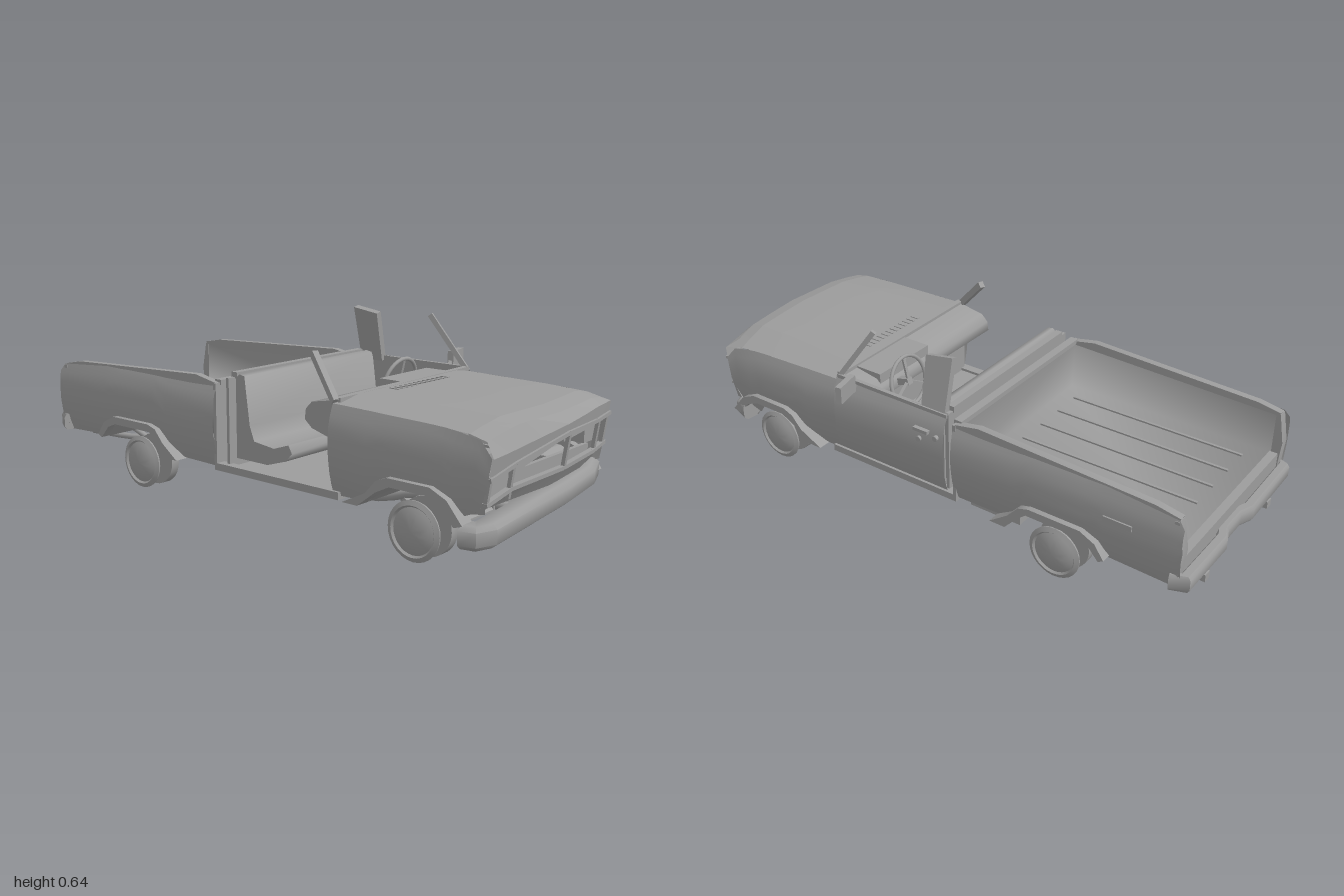
import * as THREE from 'three';
import { toCreasedNormals } from 'three/addons/utils/BufferGeometryUtils.js';

const MAT = new THREE.MeshStandardMaterial({ color: 0x9c9c9c, side: THREE.DoubleSide });
const ZC = 0.035; // centre line of the body
const V = (x, y, z) => new THREE.Vector3(x, y, z);

// piecewise linear lookup in [[key, value], ...]
function lerpTable(t, k) {
  if (k <= t[0][0]) return t[0][1];
  for (let i = 1; i < t.length; i++) {
    const [a, b] = [t[i - 1], t[i]];
    if (k <= b[0]) return a[1] + (b[1] - a[1]) * (k - a[0]) / (b[0] - a[0]);
  }
  return t[t.length - 1][1];
}
const halfWidth = y => lerpTable([[0.13, 0.36], [0.2, 0.384], [0.28, 0.396], [0.36, 0.394], [0.42, 0.38], [0.46, 0.358]], y);
const noseX = z => lerpTable([[-0.36, 0.93], [-0.2, 0.968], [0.02, 1.0], [0.43, 0.985]], z);
const lipY = z => lerpTable([[-0.36, 0.4], [-0.2, 0.41], [0.04, 0.4], [0.43, 0.362]], z);

// surface through rows of points
function skin(rows, crease = 0.5) {
  const n = rows[0].length, pos = [], idx = [];
  rows.forEach(r => r.forEach(p => pos.push(p.x, p.y, p.z)));
  for (let i = 0; i < rows.length - 1; i++) for (let j = 0; j < n - 1; j++) {
    const a = i * n + j, b = a + n;
    idx.push(a, b, a + 1, b, b + 1, a + 1);
  }
  const g = new THREE.BufferGeometry();
  g.setAttribute('position', new THREE.Float32BufferAttribute(pos, 3));
  g.setIndex(idx);
  return toCreasedNormals(g, crease);
}

export function createModel() {
  const model = new THREE.Group();
  model.name = 'wreckedPickup';
  const add = (name, geo, x = 0, y = 0, z = 0) => {
    const m = new THREE.Mesh(geo, MAT);
    m.name = name;
    m.position.set(x, y, z);
    model.add(m);
    return m;
  };
  // box given by its ranges
  const box = (name, x0, x1, y0, y1, z0, z1) =>
    add(name, new THREE.BoxGeometry(x1 - x0, y1 - y0, z1 - z0), (x0 + x1) / 2, (y0 + y1) / 2, (z0 + z1) / 2);
  const beam = (name, a, b, w, h = w) => {
    const m = add(name, new THREE.BoxGeometry(w, h, a.distanceTo(b)));
    m.position.copy(a).add(b).multiplyScalar(0.5);
    m.lookAt(b);
  };
  const pipe = (name, pts, r) =>
    add(name, new THREE.TubeGeometry(new THREE.CatmullRomCurve3(pts, false, 'centripetal'), 30, r, 8));
  // side outline in x/y, extruded from z0 to z1
  const slab = (name, pts, z0, z1, crease = 0.3) => {
    const s = new THREE.Shape(pts.map(p => new THREE.Vector2(...p)));
    const g = new THREE.ExtrudeGeometry(s, { depth: z1 - z0, bevelEnabled: false });
    return add(name, toCreasedNormals(g, crease), 0, 0, z0);
  };
  // bevelled bar swept along a mostly level path, closed at both ends
  const section = [[1, -0.6], [1, 0.6], [0.6, 1], [-0.6, 1], [-1, 0.6], [-1, -0.6], [-0.6, -1], [0.6, -1], [1, -0.6]];
  const sweep = (name, pts, hw, hh) => {
    const path = pts.map(p => V(...p));
    const rows = path.map((p, i) => {
      const d = path[Math.min(i + 1, path.length - 1)].clone().sub(path[Math.max(i - 1, 0)]);
      const n = V(d.z, 0, -d.x).normalize();
      return section.map(([u, v]) => p.clone().addScaledVector(n, u * hw).add(V(0, v * hh, 0)));
    });
    const cap = p => Array(9).fill(p);
    add(name, skin([cap(path[0]), ...rows, cap(path[path.length - 1])], 0.9));
  };

  // body side: stations [x, bottom, top], pinched to the bent nose at the front
  const side = (name, stations, s) => add(name, skin(stations.map(([x, b, t]) =>
    Array.from({ length: 9 }, (_, k) => {
      const y = b + (t - b) * k / 8, z = ZC + s * halfWidth(y);
      const f = Math.max(0, (x - 0.4) / 0.59);
      return V(x + f * (noseX(z) - 0.99 - Math.max(0, 0.4 - y) * 0.15), y, z);
    }))));
  const bed = [[-0.965, 0.2, 0.385], [-0.945, 0.155, 0.41], [-0.7, 0.165, 0.427], [-0.67, 0.205, 0.428], [-0.62, 0.225, 0.43],
    [-0.43, 0.225, 0.44], [-0.4, 0.2, 0.44], [-0.36, 0.15, 0.44], [-0.12, 0.145, 0.435]];
  const fender = [[0.39, 0.145, 0.436], [0.54, 0.15, 0.433], [0.6, 0.205, 0.431], [0.64, 0.225, 0.43], [0.77, 0.225, 0.427],
    [0.82, 0.205, 0.425], [0.87, 0.16, 0.42], [0.94, 0.19, 0.408], [0.99, 0.2, 0.364]];
  // wheel arches: inner edge, then outer edge of the flare
  const arches = [
    [[[-0.7, 0.165], [-0.66, 0.21], [-0.62, 0.225], [-0.43, 0.225], [-0.4, 0.2], [-0.35, 0.145]],
      [[-0.29, 0.145], [-0.36, 0.195], [-0.4, 0.24], [-0.44, 0.252], [-0.63, 0.252], [-0.685, 0.225], [-0.72, 0.175]]],
    [[[0.52, 0.145], [0.59, 0.2], [0.64, 0.225], [0.77, 0.225], [0.82, 0.205], [0.87, 0.15]],
      [[0.9, 0.16], [0.845, 0.225], [0.785, 0.252], [0.63, 0.252], [0.59, 0.235], [0.55, 0.19], [0.46, 0.145]]]];

  // wheel: thick inner disc and thin ringed outer disc with a domed centre
  const wheelProfile = [[0, -0.045], [0.094, -0.045], [0.094, -0.012], [0.02, -0.012],
    [0.02, 0.044], [0.094, 0.044], [0.095, 0.05], [0.08, 0.057], [0.074, 0.05], [0.06, 0.057], [0.035, 0.063], [0, 0.066]];
  const wheelGeo = toCreasedNormals(new THREE.LatheGeometry(wheelProfile.map(p => new THREE.Vector2(...p)), 28), 0.8);

  for (const s of [1, -1]) {
    const tag = s > 0 ? 'Open' : 'Door';
    const zr = (a, b) => [ZC + s * a, ZC + s * b].sort((p, q) => p - q);
    side('bedSide' + tag, bed, s);
    side('fender' + tag, fender, s);
    // bed rail and end post
    slab('bedRail' + tag, [[-0.94, 0.4], [-0.125, 0.425], [-0.125, 0.436], [-0.22, 0.454], [-0.86, 0.427], [-0.945, 0.411]], ...zr(0.35, 0.376));
    slab('bedEndPost' + tag, [[-0.955, 0.17], [-0.93, 0.17], [-0.93, 0.405], [-0.945, 0.405], [-0.965, 0.3]], ...zr(0.35, 0.386));
    box('sill' + tag, -0.13, 0.42, 0.135, 0.16, ...zr(0.345, 0.38));
    for (const [inner, outer] of arches) {
      slab('wheelArchFlare' + tag, [...inner, ...outer], ...zr(0.36, 0.412), 0.9);
      slab('wheelWell' + tag, [...inner, ...inner.map(([x, y]) => [x, y + 0.006]).reverse()], ...zr(0.2, 0.38));
      box('wheelWellBack' + tag, inner[0][0], inner[5][0], 0.15, 0.23, ...zr(0.195, 0.205));
    }
    for (const x of [-0.52, 0.705]) add('wheel' + tag, wheelGeo, x, 0.095, ZC + s * 0.325).rotation.x = s * Math.PI / 2;
    // chassis rail, springs and arms
    pipe('frameRail' + tag, [[-0.93, 0.14], [-0.68, 0.17], [-0.48, 0.15], [-0.38, 0.1], [0.42, 0.1], [0.52, 0.13], [0.7, 0.16], [0.9, 0.16]]
      .map(([x, y]) => V(x, y, ZC + s * 0.17)), 0.016);
    pipe('leafSpring' + tag, [V(-0.75, 0.16, ZC + s * 0.22), V(-0.52, 0.095, ZC + s * 0.22), V(-0.3, 0.14, ZC + s * 0.22)], 0.011);
    beam('frontControlArm' + tag, V(0.705, 0.1, ZC + s * 0.3), V(0.5, 0.11, ZC + s * 0.15), 0.022);
    box('rearBumperBracket' + tag, -0.99, -0.85, 0.115, 0.142, ...zr(0.22, 0.25));
  }

  // bed tub with soft corners, and its ribs
  const tub = (x, y) => [V(x, y, ZC + 0.354), V(x, 0.25, ZC + 0.35), V(x, 0.25, ZC - 0.35), V(x, y, ZC - 0.354)];
  const tubFront = tub(-0.133, 0.43), [rimA, , , rimB] = tubFront;
  add('bedTub', skin([tub(-0.94, 0.403), tubFront, [rimA, rimA, rimB, rimB]], 3));
  box('bedBulkhead', -0.13, -0.118, 0.15, 0.435, -0.345, 0.415);
  box('bedFrontRail', -0.142, -0.112, 0.428, 0.445, -0.325, 0.395);
  box('tailSill', -0.955, -0.925, 0.17, 0.256, -0.335, 0.405);
  for (let i = 0; i < 6; i++) {
    const z = -0.257 + i * 0.113;
    beam('bedRib', V(-0.86, 0.252, z), V(-0.19, 0.252, z), 0.01, 0.008);
  }

  // hood: flat centre between two creases, sloping sides, crumpled lip
  const hoodRows = [0, 0.3, 0.6, 0.85, 0.95, 1].map((t, i) => {
    const edge = [0.436, 0.432, 0.428, 0.42, 0.407, 0][i], mid = [0.453, 0.453, 0.452, 0.447, 0.432, 0][i];
    return [-0.337, -0.3, -0.24 + 0.04 * t, -0.1, 0.04, 0.18, 0.31 - 0.05 * t, 0.36, 0.407].map((z0, j) => {
      const k = [0, 0.4, 1, 1, 1, 1, 1, 0.45, 0][j];
      const y = i === 5 ? lipY(z0) : edge + (mid - edge) * k;
      const z = j === 0 ? ZC - halfWidth(y) : j === 8 ? ZC + halfWidth(y) : z0;
      return V(0.39 + t * (noseX(z) - 0.39), y, z);
    });
  });
  add('hood', skin(hoodRows, 0.15));
  for (let i = 0; i < 12; i++) box('hoodVent', 0.43, 0.465, 0.45, 0.456, -0.11 + i * 0.025, -0.1 + i * 0.025);

  // front face around the lamp and grille openings: [z, opening top, opening bottom, lower edge]
  const face = [[0.428, 0.3, 0.228, 0.2], [0.31, 0.328, 0.255, 0.2], [0.04, 0.372, 0.262, 0.2], [-0.2, 0.365, 0.262, 0.195], [-0.355, 0.36, 0.26, 0.2]];
  const nose = (y, z, inset = 0) => V(noseX(z) - Math.max(0, 0.4 - y) * 0.15 - inset, y, z);
  add('noseUpperPanel', skin(face.map(([z, t]) => [nose(lipY(z), z), nose(t, z)])));
  add('noseLowerPanel', skin(face.map(([z, , b, l]) => [nose(b, z), nose(l, z, 0.03)])));
  face.slice(1).forEach((f, i) => [1, 2].forEach(k =>
    beam('grilleFrame', nose(face[i][k], face[i][0]), nose(f[k], f[0]), 0.018, 0.012)));
  for (const [z, b, t] of [[0.422, 0.225, 0.31], [0.315, 0.225, 0.325], [0.032, 0.262, 0.37], [-0.225, 0.262, 0.362], [-0.325, 0.262, 0.36]])
    beam('grilleUpright', nose(b, z), nose(t, z), 0.012);
  beam('bentGrilleStrip', nose(0.3, 0.31, 0.01), nose(0.365, 0.05, 0.01), 0.012, 0.016);
  beam('grilleBar', nose(0.345, 0.03, 0.02), nose(0.345, -0.22, 0.02), 0.01, 0.012);
  for (const [z, y] of [[0.368, 0.265], [-0.275, 0.31]])
    box('headlampBox', noseX(z) - 0.1, noseX(z) - 0.045, y - 0.035, y + 0.035, z - 0.042, z + 0.042);
  box('radiatorSupport', 0.87, 0.885, 0.2, 0.26, -0.3, 0.37);
  box('firewall', 0.385, 0.4, 0.14, 0.43, -0.33, 0.4);

  // bent bumpers
  sweep('frontBumper', [[0.835, 0.165, -0.345], [0.86, 0.165, -0.343], [0.9, 0.165, -0.24], [0.932, 0.163, -0.03], [0.933, 0.155, 0.08],
    [0.933, 0.13, 0.38], [0.92, 0.127, 0.41], [0.885, 0.127, 0.415]], 0.042, 0.036);
  sweep('rearBumper', [[-0.93, 0.185, -0.345], [-0.975, 0.185, -0.335], [-0.978, 0.185, -0.09], [-0.958, 0.185, -0.04], [-0.958, 0.185, 0.06],
    [-0.978, 0.185, 0.11], [-0.975, 0.185, 0.405], [-0.93, 0.185, 0.42]], 0.02, 0.03);

  // cab: floor, back wall, remaining door, seat, dashboard
  box('cabFloor', -0.085, 0.4, 0.135, 0.15, -0.34, 0.41);
  box('cabBackWall', -0.088, -0.076, 0.15, 0.455, -0.325, 0.395);
  box('cabBackRail', -0.092, -0.066, 0.45, 0.472, -0.3, 0.365);
  side('doorSkin', [[-0.088, 0.145, 0.458], [0.15, 0.145, 0.452], [0.395, 0.145, 0.44]], -1);
  box('doorInnerPanel', -0.07, 0.38, 0.17, 0.45, -0.328, -0.32);
  box('doorTop', -0.085, 0.39, 0.44, 0.454, -0.333, -0.318);
  box('doorHandle', -0.03, 0.03, 0.375, 0.387, -0.368, -0.35);
  for (const [x, y] of [[0.01, 0.345], [-0.06, 0.37]])
    add('doorLock', new THREE.CylinderGeometry(0.01, 0.01, 0.02, 12), x, y, -0.357).rotation.x = Math.PI / 2;
  box('sideMarker', -0.8, -0.7, 0.315, 0.333, -0.365, -0.352);
  slab('benchSeat', [[-0.062, 0.18], [-0.062, 0.455], [-0.045, 0.47], [-0.022, 0.465], [0.0, 0.3], [0.02, 0.25], [0.11, 0.24],
    [0.175, 0.262], [0.19, 0.235], [0.16, 0.205], [0.08, 0.18]], -0.305, 0.375, 1.5);
  slab('dashboard', [[0.4, 0.445], [0.29, 0.425], [0.265, 0.4], [0.26, 0.365], [0.29, 0.34], [0.38, 0.315], [0.4, 0.32]], -0.32, 0.39, 1.2);
  box('instrumentHood', 0.275, 0.39, 0.41, 0.447, -0.24, 0.03);

  // pillars left standing and the windscreen base
  const rearPillar = slab('rearPillar', [[-0.075, 0.44], [0.022, 0.44], [0.03, 0.628], [-0.075, 0.645]], -0.01, 0.014);
  rearPillar.rotation.x = 0.24;
  rearPillar.position.set(0, 0.013, -0.435);
  beam('windscreenPillarOpen', V(0.395, 0.44, 0.4), V(0.265, 0.572, 0.352), 0.02, 0.024);
  beam('windscreenPillarDoor', V(0.39, 0.44, -0.325), V(0.262, 0.632, -0.275), 0.014, 0.018);
  beam('windscreenBase', V(0.39, 0.448, -0.32), V(0.4, 0.446, 0.395), 0.022, 0.014);

  // steering wheel, leaning forward at the top
  const wheel = add('steeringWheel', new THREE.TorusGeometry(0.09, 0.007, 8, 32), 0.222, 0.4, -0.15);
  wheel.rotation.set(0, Math.PI / 2, 0);
  wheel.rotateX(0.24);
  for (const a of [0, 2.094, 4.189]) {
    const q = V(Math.sin(a), Math.cos(a), 0).multiplyScalar(0.087).applyQuaternion(wheel.quaternion);
    beam('steeringSpoke', wheel.position, q.add(wheel.position), 0.012, 0.008);
  }
  beam('steeringColumn', V(0.215, 0.4, -0.15), V(0.36, 0.36, -0.15), 0.025);

  // door mirror on its arm
  beam('mirrorArm', V(0.3, 0.44, -0.345), V(0.29, 0.465, -0.37), 0.012);
  add('doorMirror', new THREE.BoxGeometry(0.022, 0.062, 0.1), 0.285, 0.463, -0.406).rotation.y = 0.22;

  // running gear
  for (const x of [-0.52, 0.705]) beam('axle', V(x, 0.097, -0.27), V(x, 0.097, 0.34), 0.032);
  add('differential', new THREE.SphereGeometry(0.06, 16, 10), -0.52, 0.1, ZC).scale.set(1, 0.9, 1.2);
  pipe('driveShaft', [V(-0.47, 0.1, ZC), V(-0.1, 0.11, ZC), V(0.25, 0.125, ZC)], 0.014);
  box('gearbox', 0.22, 0.45, 0.085, 0.16, -0.03, 0.1);
  box('engineSump', 0.45, 0.7, 0.12, 0.25, -0.06, 0.13);
  for (const [x, y] of [[-0.82, 0.15], [-0.3, 0.1], [-0.05, 0.1], [0.2, 0.1], [0.52, 0.12], [0.85, 0.16]])
    beam('frameCrossMember', V(x, y, ZC - 0.17), V(x, y, ZC + 0.17), 0.035, 0.022);
  pipe('exhaustPipe', [V(0.5, 0.12, 0.15), V(0.2, 0.1, 0.13), V(-0.3, 0.1, 0.12), V(-0.52, 0.17, 0.15), V(-0.7, 0.13, 0.25), V(-0.95, 0.125, 0.29)], 0.012);
  add('muffler', new THREE.CylinderGeometry(0.03, 0.03, 0.2, 16), -0.12, 0.105, 0.125).rotation.z = Math.PI / 2;
  box('fuelTank', -0.36, -0.16, 0.11, 0.2, -0.3, -0.16);

  return model;
}
